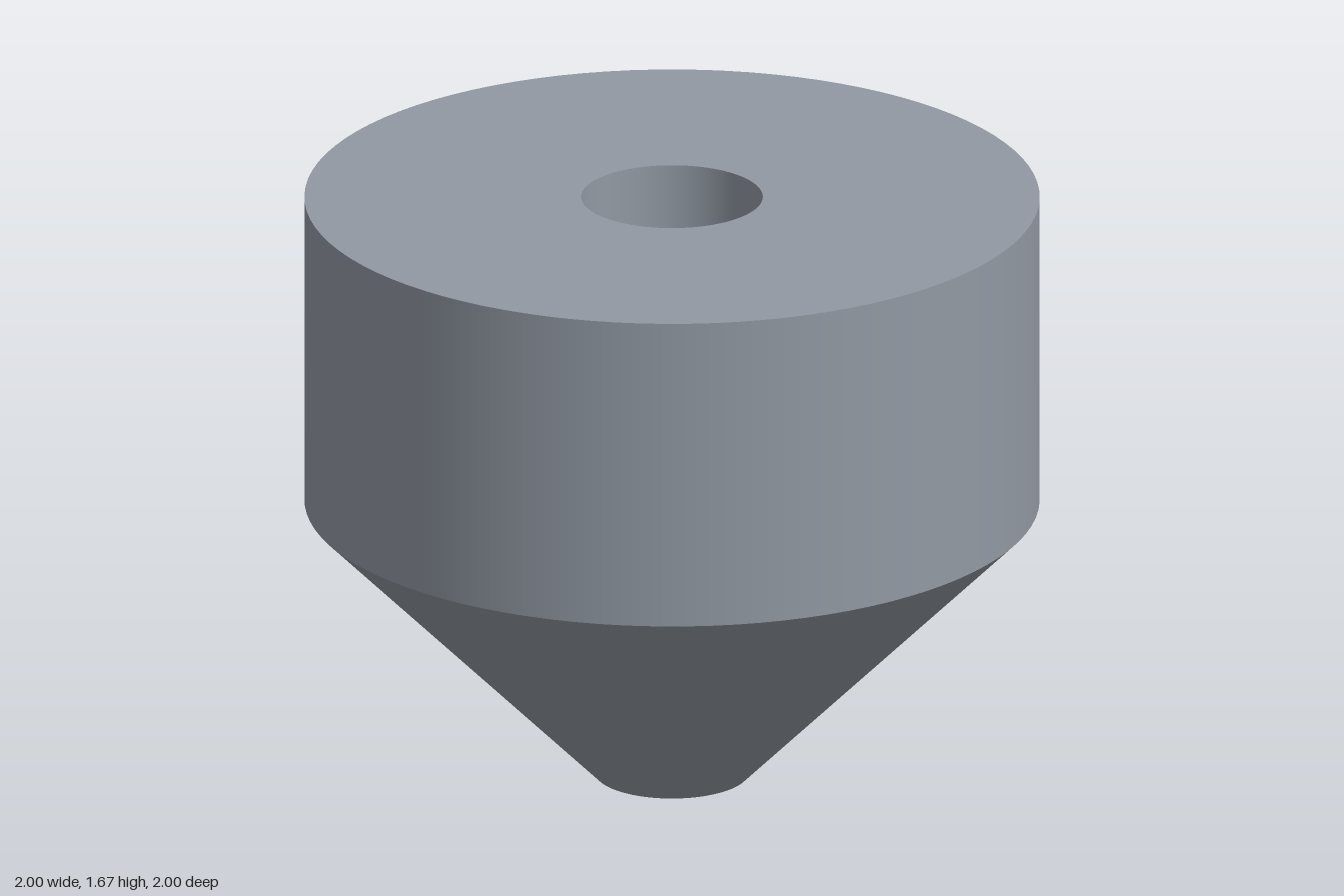
import * as THREE from 'three';

export function createModel() {
  const group = new THREE.Group();
  group.name = 'nozzle';
  const material = new THREE.MeshStandardMaterial({ color: 0x9199a3 });

  // Each band is turned separately so that its rims stay sharp.
  const band = (name, [r0, y0], [r1, y1]) => {
    const points = [new THREE.Vector2(r0, y0), new THREE.Vector2(r1, y1)];
    const mesh = new THREE.Mesh(new THREE.LatheGeometry(points, 96), material);
    mesh.name = name;
    group.add(mesh);
  };

  const top = 1.667, shoulder = 0.79;
  const bodyR = 1, tipR = 0.21, boreR = 0.247, orificeR = 0.105;

  // Outside, from the tip upwards
  band('tipFace', [orificeR, 0], [tipR, 0]);
  band('cone', [tipR, 0], [bodyR, shoulder]);
  band('bodyWall', [bodyR, shoulder], [bodyR, top]);
  band('topFace', [bodyR, top], [boreR, top]);

  // Stepped through hole, from the top downwards
  band('boreWall', [boreR, top], [boreR, shoulder]);
  band('boreStep', [boreR, shoulder], [orificeR, shoulder]);
  band('orificeWall', [orificeR, shoulder], [orificeR, 0]);

  return group;
}
